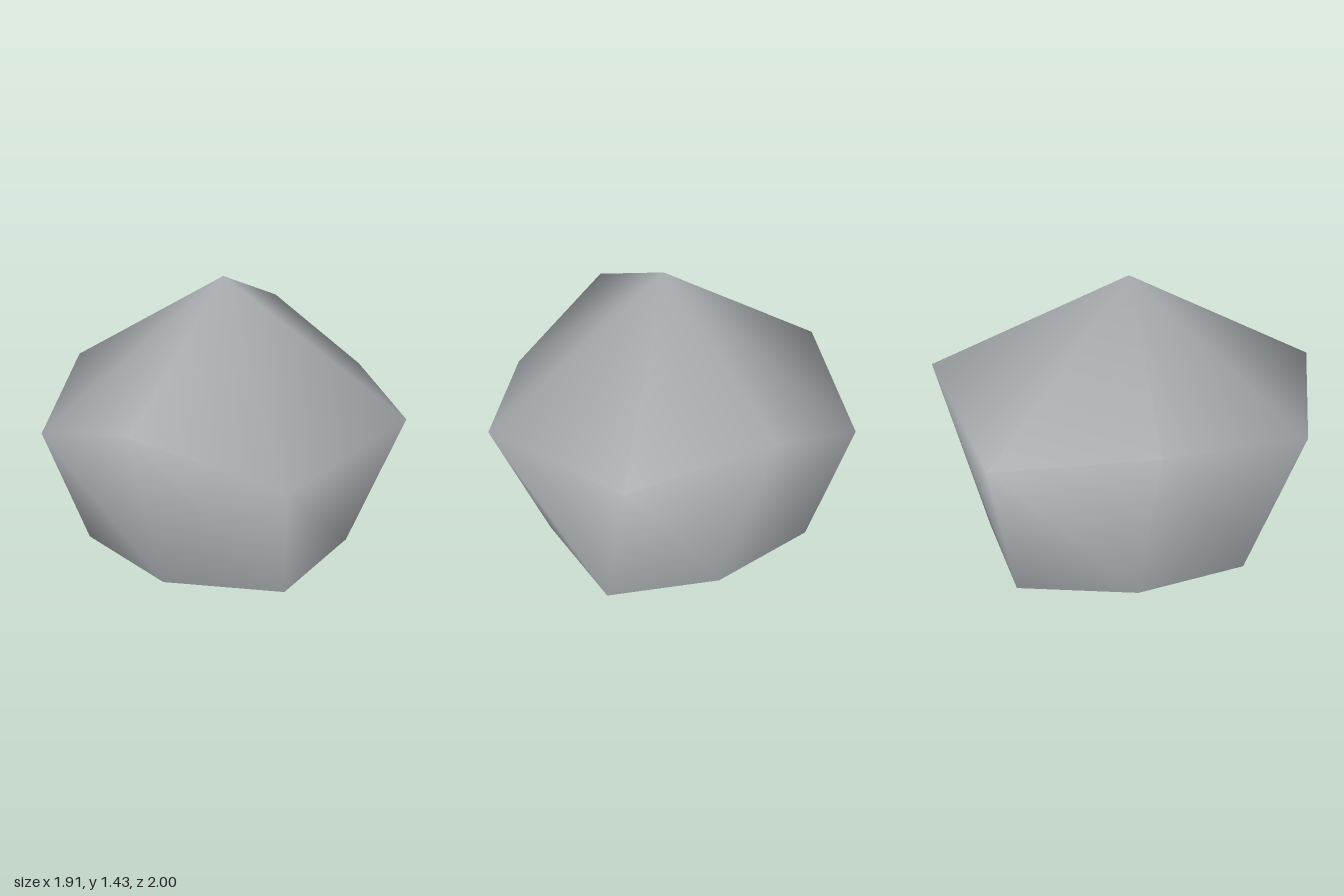
import * as THREE from 'three';
import { mergeVertices } from 'three/addons/utils/BufferGeometryUtils.js';

// Uneven rings of the boulder, from -x round through +z to +x and -z
const rim = [
  [-0.96, 0.86, 0.02], [-0.65, 0.75, 0.80], [-0.02, 0.95, 1.00], [0.615, 0.65, 0.68],
  [0.955, 0.78, -0.08], [0.495, 0.77, -0.76], [-0.15, 1.05, -1.00], [-0.765, 0.75, -0.75],
];
const base = [
  [-0.75, 0, -0.05], [-0.61, 0, 0.53], [-0.03, 0, 0.72], [0.56, 0, 0.53],
  [0.69, 0, -0.06], [0.56, 0, -0.65], [-0.02, 0, -0.78], [-0.62, 0, -0.65],
];
const peak = [-0.03, 1.43, 0.01];

export function createModel() {
  // The shell is open underneath, so its inside shows too
  const stone = new THREE.MeshStandardMaterial({ color: 0xaaaeb1, side: THREE.DoubleSide });
  stone.name = 'stone grey';

  // Coarse open dome whose rows are moved onto the peak, rim and base
  const sides = 8;
  const dome = new THREE.SphereGeometry(1, sides, 2, 0, Math.PI * 2, 0, Math.PI * 0.67);
  const pos = dome.attributes.position;
  for (let i = 0; i < pos.count; i++) {
    const row = Math.floor(i / (sides + 1));
    const col = (i % (sides + 1)) % sides;
    pos.setXYZ(i, ...[peak, rim[col], base[col]][row]);
  }

  // Weld the seam and peak so the shading is smooth all round
  dome.deleteAttribute('uv');
  dome.deleteAttribute('normal');
  const geometry = mergeVertices(dome);
  geometry.computeVertexNormals();

  const boulder = new THREE.Mesh(geometry, stone);
  boulder.name = 'boulder';

  const group = new THREE.Group();
  group.name = 'rock';
  group.add(boulder);
  return group;
}
